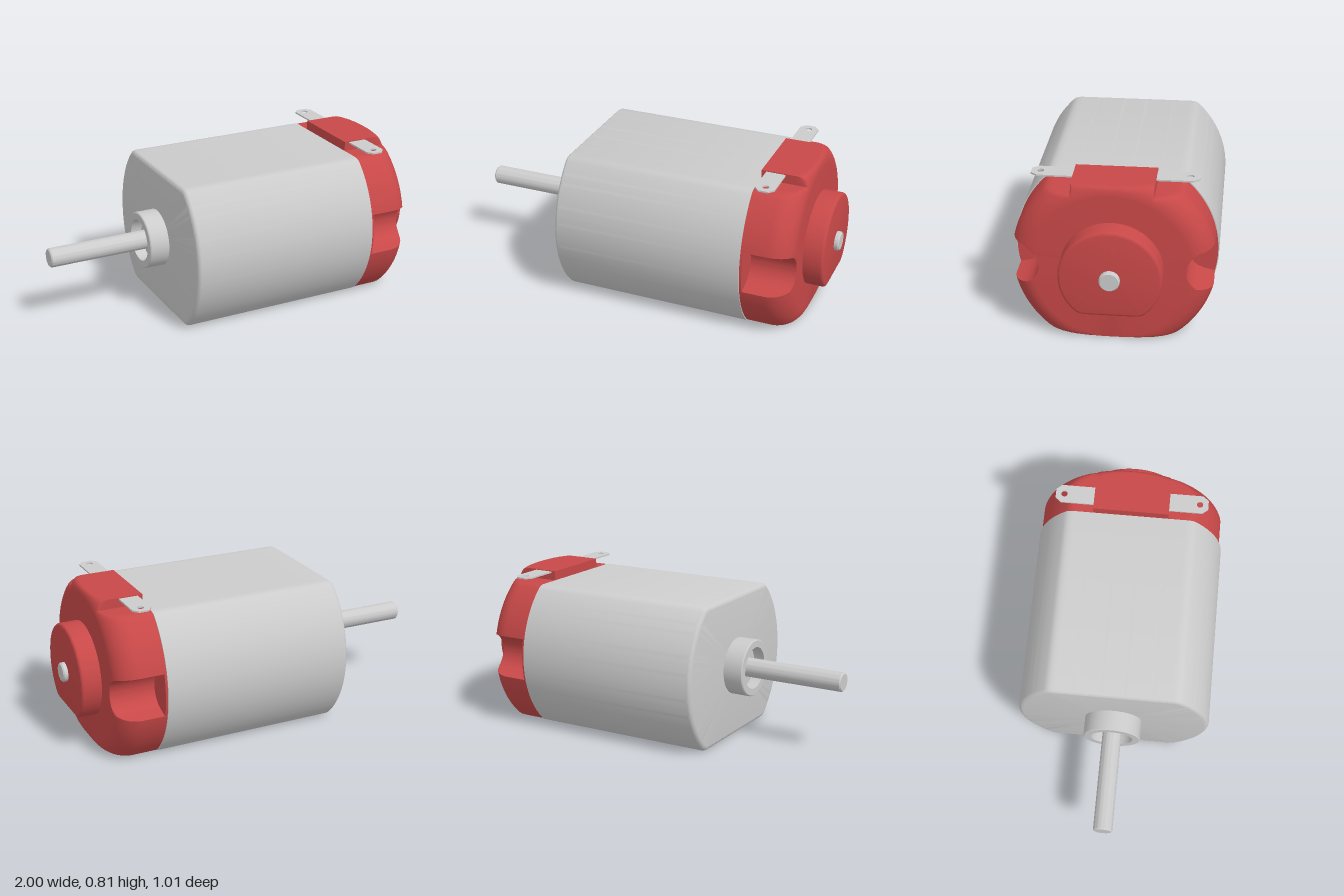
import * as THREE from 'three';
import { toCreasedNormals } from 'three/addons/utils/BufferGeometryUtils.js';

const AXIS_Y = 0.38; // height of the motor axis, which runs along x
const DEG = Math.PI / 180;

// Angles around the axis (0 = up, 90 = +z), with extra ones at sharp corners
const angles = [];
for (let i = 0; i < 240; i++) angles.push(i * 1.5);
const notchEdge = Math.asin(0.103 / 0.458) / DEG;
for (const a of [90, 270]) for (const s of [-1, 1]) for (const e of [-0.01, 0.01])
  angles.push(a + s * notchEdge + e);
for (const h of [0.38, 0.43]) {
  const a = Math.atan(0.2 / h) / DEG;
  angles.push(a, 360 - a);
}
angles.sort((a, b) => a - b);

// Minimum of two distances with a softened corner
function softMin(a, b, k) {
  const h = Math.max(k - Math.abs(a - b), 0) / k;
  return Math.min(a, b) - h * h * k / 4;
}

// Radius of a round section cut by flats, with optional top step and side notches
function radiusAt(a, { r, up = 9, down = 9, step = false, notch = false }) {
  const c = Math.cos(a), s = Math.abs(Math.sin(a));
  let flat = 9;
  if (c > 0.01) {
    flat = up / c;
    if (step) flat = Math.max(flat, Math.min(0.43 / c, 0.2 / Math.max(s, 1e-6)));
  } else if (c < -0.01) flat = -down / c;
  let d = softMin(r, flat, 0.02);
  if (notch) {
    const q = 0.103 ** 2 - (0.458 * c) ** 2;
    if (q >= 0) d = Math.min(d, 0.458 * s - Math.sqrt(q));
  }
  return d;
}

// Closed skin through sections along x
function loft(sections) {
  const n = angles.length, pos = [], index = [];
  for (const sec of sections) for (const deg of angles) {
    const a = deg * DEG, d = radiusAt(a, sec);
    pos.push(sec.x, AXIS_Y + d * Math.cos(a), d * Math.sin(a));
  }
  const last = (sections.length - 1) * n, c0 = sections.length * n;
  pos.push(sections[0].x, AXIS_Y, 0, sections.at(-1).x, AXIS_Y, 0);
  for (let i = 0; i < n; i++) {
    const j = (i + 1) % n;
    for (let o = 0; o < last; o += n)
      index.push(o + i, o + j, o + n + i, o + j, o + n + j, o + n + i);
    index.push(c0, j, i, c0 + 1, last + i, last + j);
  }
  const g = new THREE.BufferGeometry();
  g.setAttribute('position', new THREE.Float32BufferAttribute(pos, 3));
  g.setIndex(index);
  return toCreasedNormals(g, 32 * DEG);
}

// Turned part: profile of [radius, x] points
function turned(points) {
  const g = new THREE.LatheGeometry(points.map(([r, x]) => new THREE.Vector2(r, x)), 48);
  g.rotateZ(-Math.PI / 2).translate(0, AXIS_Y, 0);
  return toCreasedNormals(g, 40 * DEG);
}

export function createModel() {
  const motor = new THREE.Group();
  motor.name = 'electricMotor';
  const steel = new THREE.MeshStandardMaterial({ color: 0xcccccc });
  const red = new THREE.MeshStandardMaterial({ color: 0xc84848 });
  const add = (name, geometry, material) => {
    const m = new THREE.Mesh(geometry, material);
    m.name = name;
    motor.add(m);
    return m;
  };

  // Steel can with a small rounded rim
  const can = [];
  for (let i = 0; i <= 5; i++) {
    const t = i / 5 * Math.PI / 2, inset = 0.025 * (1 - Math.sin(t));
    can.push({ x: -0.37 - 0.025 * Math.cos(t), r: 0.505 - inset, up: 0.38 - inset, down: 0.38 - inset });
  }
  can.push({ x: 0.62, r: 0.505, up: 0.38, down: 0.38 });
  add('can', loft(can), steel);

  // Red end cap: rounded shoulder, stepped top, notched sides
  const flats = { up: 0.38, down: 0.38, step: true };
  const cap = [{ x: 0.63, r: 0.5, notch: true, ...flats }];
  for (let i = 0; i <= 12; i++) {
    const t = i / 12 * Math.PI / 2;
    cap.push({ x: 0.75 + 0.12 * Math.sin(t), r: 0.382 + 0.118 * Math.cos(t), notch: true, ...flats });
  }
  add('endCap', loft(cap), red);
  add('endCapFlange', loft([{ x: 0.62, r: 0.5, ...flats }, { x: 0.632, r: 0.5, ...flats }]), red);

  // Bearing housing with a flat underside
  const hub = [{ x: 0.86, r: 0.25, down: 0.2 }];
  for (let i = 0; i <= 4; i++) {
    const t = i / 4 * Math.PI / 2, inset = 0.015 * (1 - Math.cos(t));
    hub.push({ x: 0.96 + 0.015 * Math.sin(t), r: 0.25 - inset, down: 0.2 - inset });
  }
  add('bearingHousing', loft(hub), red);

  // Hollow front boss and the shaft
  add('frontBoss', turned([[0, -0.44], [0.11, -0.44], [0.11, -0.5], [0.145, -0.5],
    [0.15, -0.495], [0.15, -0.38]].reverse()), steel).material = 
    new THREE.MeshStandardMaterial({ color: 0xcccccc, side: THREE.DoubleSide });
  add('shaft', turned([[0, -1], [0.044, -1], [0.05, -0.993], [0.05, 0.993], [0.044, 1], [0, 1]]), steel);

  // Terminal tabs with a wire hole, one on each side of the step
  const tab = new THREE.Shape([[-0.05, 0.15], [0.05, 0.15], [0.05, 0.375], [0.025, 0.405],
    [-0.025, 0.405], [-0.05, 0.375]].map(([x, y]) => new THREE.Vector2(x, y)));
  tab.holes.push(new THREE.Path().absarc(0, 0.36, 0.017, 0, Math.PI * 2, true));
  for (const side of [1, -1]) {
    const g = new THREE.ExtrudeGeometry(tab, { depth: 0.008, bevelEnabled: false, curveSegments: 16 });
    g.translate(0, 0, -0.004).rotateX(side * Math.PI / 2).translate(0.695, 0.802, 0);
    add(side > 0 ? 'frontTerminal' : 'backTerminal', g, steel);
  }
  return motor;
}
